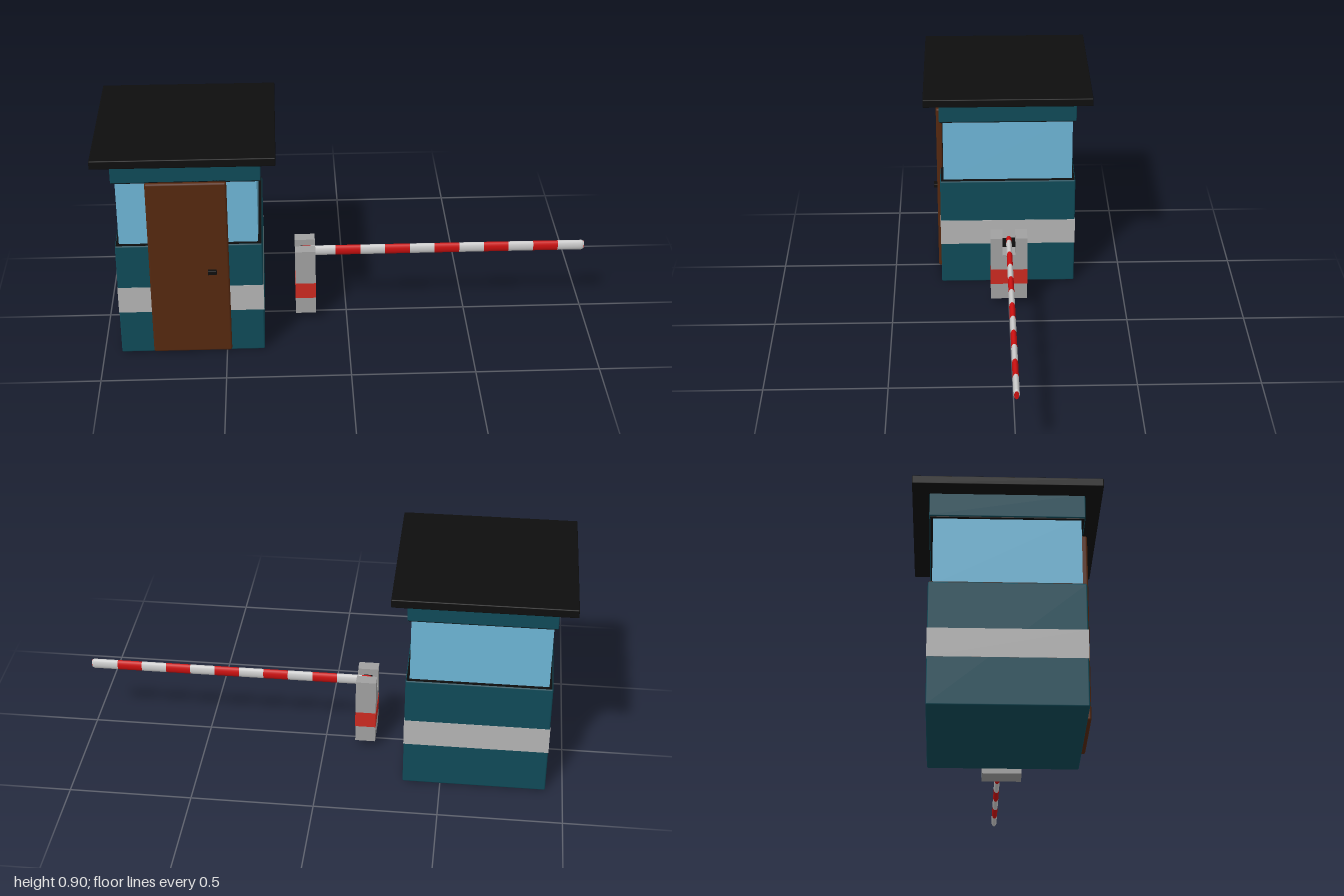
import * as THREE from 'three';
import { RoundedBoxGeometry } from 'three/addons/geometries/RoundedBoxGeometry.js';

const mat = (color) => new THREE.MeshStandardMaterial({ color });
const teal = mat(0x0f4a58), glass = mat(0x6db5d6), brown = mat(0x55280f), black = mat(0x0e0e0e);
const bandGrey = mat(0xb4b4b4), postGrey = mat(0xa0a0a0), red = mat(0xcc2a20);
const poleRed = mat(0xcc1010), poleWhite = mat(0xc4c4c4);

export function createModel() {
  const model = new THREE.Group();

  const add = (parent, name, geometry, material, x = 0, y = 0, z = 0) => {
    const mesh = new THREE.Mesh(geometry, material);
    mesh.name = name;
    mesh.position.set(x, y, z);
    parent.add(mesh);
    return mesh;
  };
  // Box given by its extents; a radius rounds the edges
  const block = (parent, name, material, [x0, x1], [y0, y1], [z0, z1], radius = 0) => {
    const size = [x1 - x0, y1 - y0, z1 - z0];
    const geometry = radius ? new RoundedBoxGeometry(...size, 2, radius) : new THREE.BoxGeometry(...size);
    return add(parent, name, geometry, material, (x0 + x1) / 2, (y0 + y1) / 2, (z0 + z1) / 2);
  };

  // Guard booth
  const booth = new THREE.Group();
  booth.name = 'booth';
  model.add(booth);
  const wallX = [-0.93, -0.346], wallZ = [-0.292, 0.292];
  const grow = ([a, b], d) => [a - d, b + d];
  block(booth, 'lowerWall', teal, wallX, [0, 0.495], wallZ, 0.006);
  block(booth, 'wallBand', bandGrey, grow(wallX, 0.001), [0.19, 0.305], grow(wallZ, 0.001));
  block(booth, 'windowSill', black, grow(wallX, -0.004), [0.485, 0.498], grow(wallZ, -0.004));
  block(booth, 'windows', glass, grow(wallX, -0.016), [0.49, 0.785], grow(wallZ, -0.015));
  block(booth, 'windowHead', black, grow(wallX, -0.004), [0.772, 0.785], grow(wallZ, -0.004));
  block(booth, 'upperWall', teal, wallX, [0.775, 0.88], wallZ, 0.004);
  block(booth, 'roof', black, [-1, -0.286], [0.87, 0.905], [-0.357, 0.357], 0.004);

  // Door with its frame and handle
  block(booth, 'doorFrame', black, [-0.797, -0.483], [0.48, 0.78], [0.27, 0.292]);
  block(booth, 'door', brown, [-0.798, -0.48], [0.007, 0.776], [0.28, 0.307], 0.008);
  block(booth, 'doorHandle', black, [-0.565, -0.53], [0.372, 0.39], [0.3, 0.323], 0.003);

  // Slotted barrier post
  const barrier = new THREE.Group();
  barrier.name = 'barrier';
  model.add(barrier);
  const postX = [-0.214, -0.13], w = 0.078, s = 0.027;
  const profile = new THREE.Shape([
    [-w, 0.037], [w, 0.037], [w, 0.33], [s, 0.33], [s, 0.25], [-s, 0.25], [-s, 0.33], [-w, 0.33],
  ].map(([a, b]) => new THREE.Vector2(a, b)));
  const postGeometry = new THREE.ExtrudeGeometry(profile, { depth: postX[1] - postX[0], bevelEnabled: false });
  postGeometry.rotateY(Math.PI / 2);
  add(barrier, 'post', postGeometry, postGrey, postX[0]);
  block(barrier, 'postBand', red, grow(postX, 0.001), [0.11, 0.18], [-w - 0.001, w + 0.001]);
  block(barrier, 'pivot', black, [-0.19, -0.155], [0.276, 0.302], [-0.03, 0.03]);

  // Striped pole with an oval cross-section
  const poleY = 0.294, poleRadii = [0.022, 0.012];
  const poleSegment = (name, material, x0, x1, startScale = 1, endScale = 1) => {
    const geometry = new THREE.CylinderGeometry(endScale, startScale, x1 - x0, 20);
    geometry.rotateZ(-Math.PI / 2);
    geometry.scale(1, ...poleRadii);
    add(barrier, name, geometry, material, (x0 + x1) / 2, poleY);
  };
  const pitch = 0.1037, first = -0.148;
  poleSegment('poleButtEnd', poleRed, -0.19, -0.182, 0.8, 1);
  poleSegment('poleButt', poleRed, -0.182, first);
  for (let i = 0; i < 11; i++) {
    const x = first + i * pitch;
    poleSegment('poleStripe', i % 2 ? poleRed : poleWhite, x, i === 10 ? 0.99 : x + pitch);
  }
  poleSegment('poleTip', poleWhite, 0.99, 0.999, 1, 0.8);
  poleSegment('poleEndCap', poleRed, 0.998, 1, 0.78, 0.78);

  return model;
}
